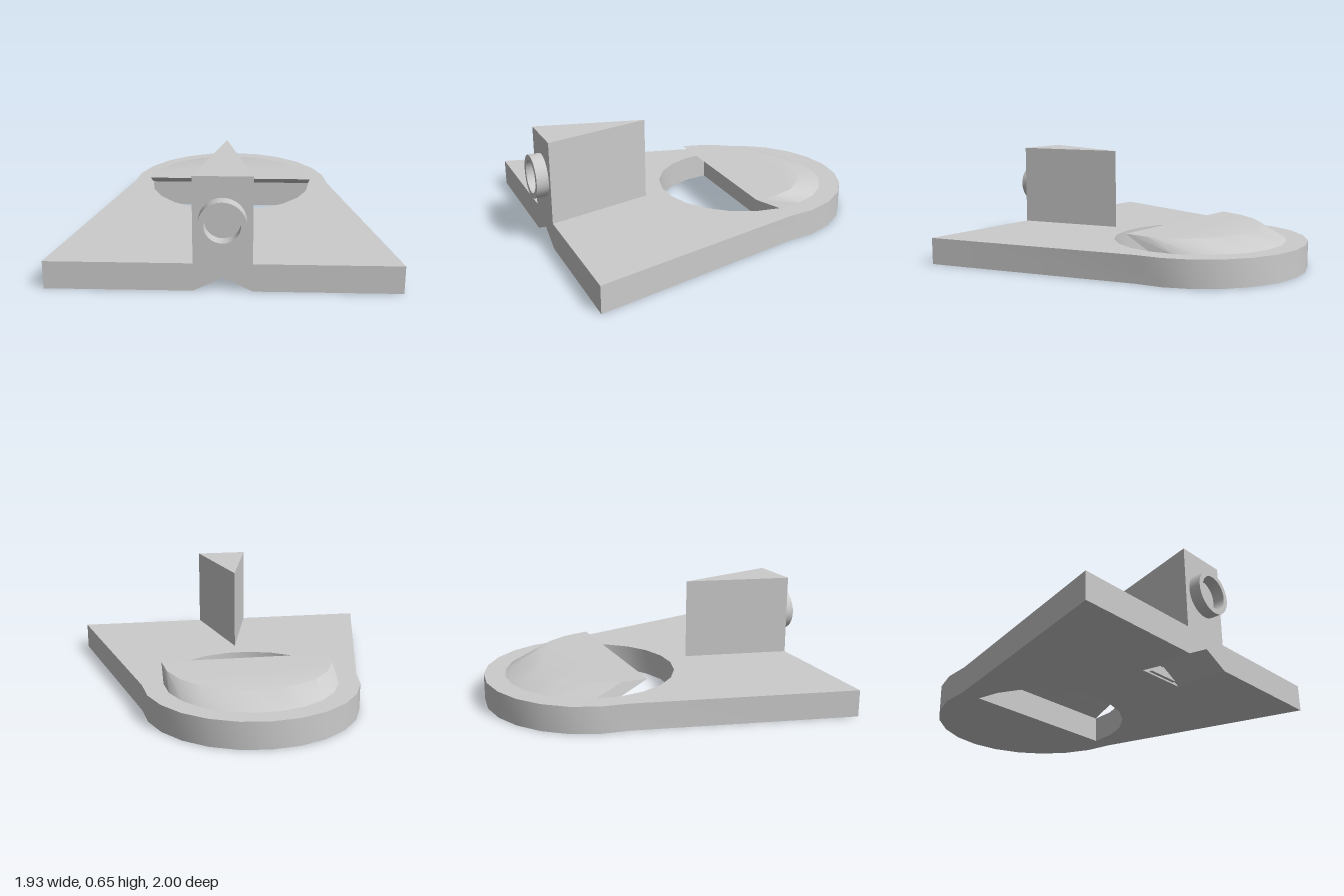
import * as THREE from 'three';
import { toCreasedNormals } from 'three/addons/utils/BufferGeometryUtils.js';

const PLATE = 0.16, ARC_Z = -0.36, HOLE_R = 0.515, FRONT = 0.93, NOTCH_BACK = 0.61;
const material = new THREE.MeshStandardMaterial({ color: 0xcccccc });

// Points of an arc about (0, ARC_Z); shape y is -z
function arc(radius, from, to, segments) {
  return Array.from({ length: segments + 1 }, (_, i) => {
    const a = from + (to - from) * i / segments;
    return new THREE.Vector2(radius * Math.cos(a), radius * Math.sin(a) - ARC_Z);
  });
}

const points = list => list.map(([x, y]) => new THREE.Vector2(x, y));

function extrude(outline, depth, holes = []) {
  const shape = new THREE.Shape(outline);
  shape.holes = holes.map(h => new THREE.Path(h));
  return new THREE.ExtrudeGeometry(shape, { depth, bevelEnabled: false });
}

// Extrude a plan outline upwards
const extrudeUp = (outline, height, holes) =>
  extrude(outline, height, holes).rotateX(-Math.PI / 2);

export function createModel() {
  const group = new THREE.Group();
  const add = (name, geometry) => {
    const mesh = new THREE.Mesh(toCreasedNormals(geometry, 0.5), material);
    mesh.name = name;
    group.add(mesh);
    return mesh;
  };

  // Tapered plate with a rounded back, a half-round hole and a slot at the front
  add('basePlate', extrudeUp([
    ...points([[-0.965, -FRONT], [-0.16, -FRONT], [-0.16, -NOTCH_BACK],
      [0.16, -NOTCH_BACK], [0.16, -FRONT], [0.965, -FRONT]]),
    ...arc(0.64, 0, Math.PI, 12),
  ], PLATE, [arc(HOLE_R, Math.PI, 2 * Math.PI, 11)]));

  // Roof of the V notch under the front edge
  add('notchRoof', extrude(
    points([[-0.16, 0], [0, 0.08], [0.16, 0], [0.16, PLATE], [-0.16, PLATE]]),
    FRONT - NOTCH_BACK)).position.z = NOTCH_BACK;

  // Small triangular panel on the back wall of the notch
  add('notchPanel', extrude(points([[-0.105, 0.01], [0.105, 0.01], [0, 0.067]]), 0.02))
    .position.z = NOTCH_BACK;

  // Half-round hood leaning forward over the hole, its top falling to the back
  const hood = extrudeUp(arc(HOLE_R, 0, Math.PI, 11), 1);
  const p = hood.attributes.position;
  for (let i = 0; i < p.count; i++) {
    if (p.getY(i) > 0.5) {
      p.setY(i, 0.082 + 0.035 * (p.getZ(i) - ARC_Z));
      p.setZ(i, p.getZ(i) + 0.16);
    }
  }
  add('hood', hood).position.y = PLATE;

  // Upright triangular post
  add('post', extrudeUp(points([[-0.16, -FRONT], [0.16, -FRONT], [0, -0.29]]), 0.49))
    .position.y = PLATE;

  // Hollow round collar on the post's front face
  const collar = new THREE.LatheGeometry(
    points([[0.128, 0], [0.128, 0.07], [0.098, 0.07], [0.098, 0]]), 32);
  add('collar', collar.rotateX(Math.PI / 2)).position.set(0, 0.405, FRONT);

  return group;
}
